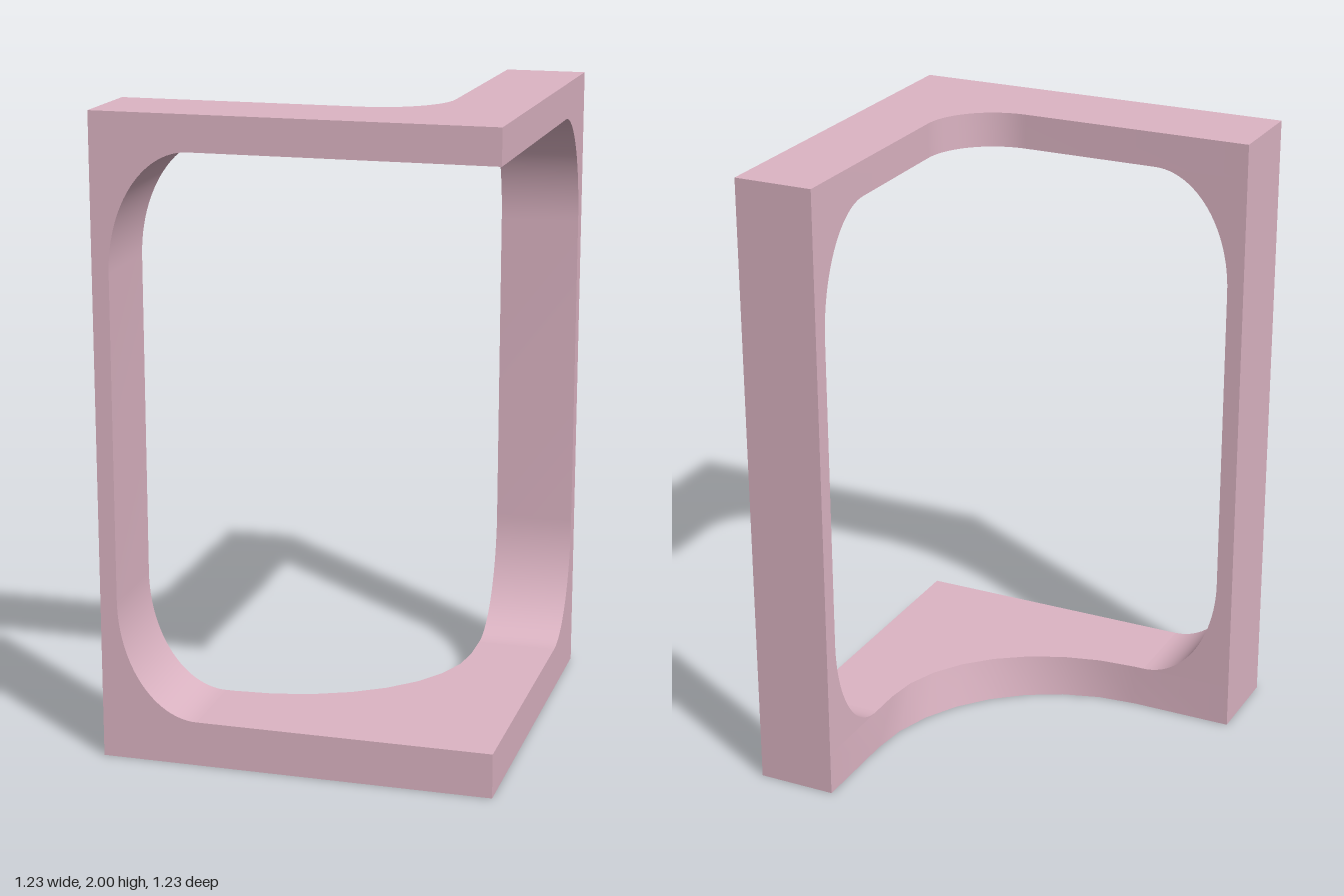
import * as THREE from 'three';
import { toCreasedNormals } from 'three/addons/utils/BufferGeometryUtils.js';

const E = 0.613;            // half width of the square footprint
const INX = 0.36, INZ = 0.33; // inner faces of the two arms
const FLOOR = 0.14, CEIL = 1.89;

const extrude = (shape, depth, curveSegments) =>
  new THREE.ExtrudeGeometry(shape, { depth, curveSegments, bevelEnabled: false });

// L-shaped plan with a rounded inner corner, drawn in (x, -z) and laid flat
function plate(rx, rz, height, segments) {
  const s = new THREE.Shape();
  s.moveTo(-E, -E);
  s.lineTo(E, -E);
  s.lineTo(E, E);
  s.lineTo(INX, E);
  s.lineTo(INX, rz - INZ);
  s.absellipse(INX - rx, rz - INZ, rx, rz, 0, -Math.PI / 2, true);
  s.lineTo(-E, -INZ);
  s.closePath();
  return extrude(s, height, segments).rotateX(-Math.PI / 2);
}

// Thin post flaring into the floor and ceiling with elliptical corners
function post(depth) {
  const tip = -0.31, face = -0.56, ry = 0.37;
  const s = new THREE.Shape();
  s.moveTo(-E, FLOOR);
  s.lineTo(tip, FLOOR);
  s.absellipse(tip, FLOOR + ry, tip - face, ry, -Math.PI / 2, -Math.PI, true);
  s.lineTo(face, CEIL - ry);
  s.absellipse(tip, CEIL - ry, tip - face, ry, Math.PI, Math.PI / 2, true);
  s.lineTo(-E, CEIL);
  s.closePath();
  return extrude(s, depth, 12);
}

export function createModel() {
  const group = new THREE.Group();
  const material = new THREE.MeshStandardMaterial({ color: 0xdcb4c3 });
  const add = (name, geometry) => {
    const mesh = new THREE.Mesh(toCreasedNormals(geometry, 0.6), material);
    mesh.name = name;
    group.add(mesh);
  };

  // Base: the curved inner wall leans back slightly towards its top edge
  const rz = 0.63;
  const base = plate(0.64, rz, FLOOR, 4);
  const p = base.attributes.position;
  for (let i = 0; i < p.count; i++) {
    const z = p.getZ(i), t = (z - INZ + rz) / rz;
    if (p.getY(i) > FLOOR / 2 && t > -0.01 && t < 1.01) p.setZ(i, z + 0.1 * (1 - t));
  }
  add('basePlate', base);

  add('topPlate', plate(0.23, 0.22, 2 - CEIL, 12).translate(0, CEIL, 0));
  add('frontPost', post(E - INZ).translate(0, 0, INZ));
  add('sidePost', post(E - INX).rotateY(-Math.PI / 2).translate(E, 0, 0));
  return group;
}
